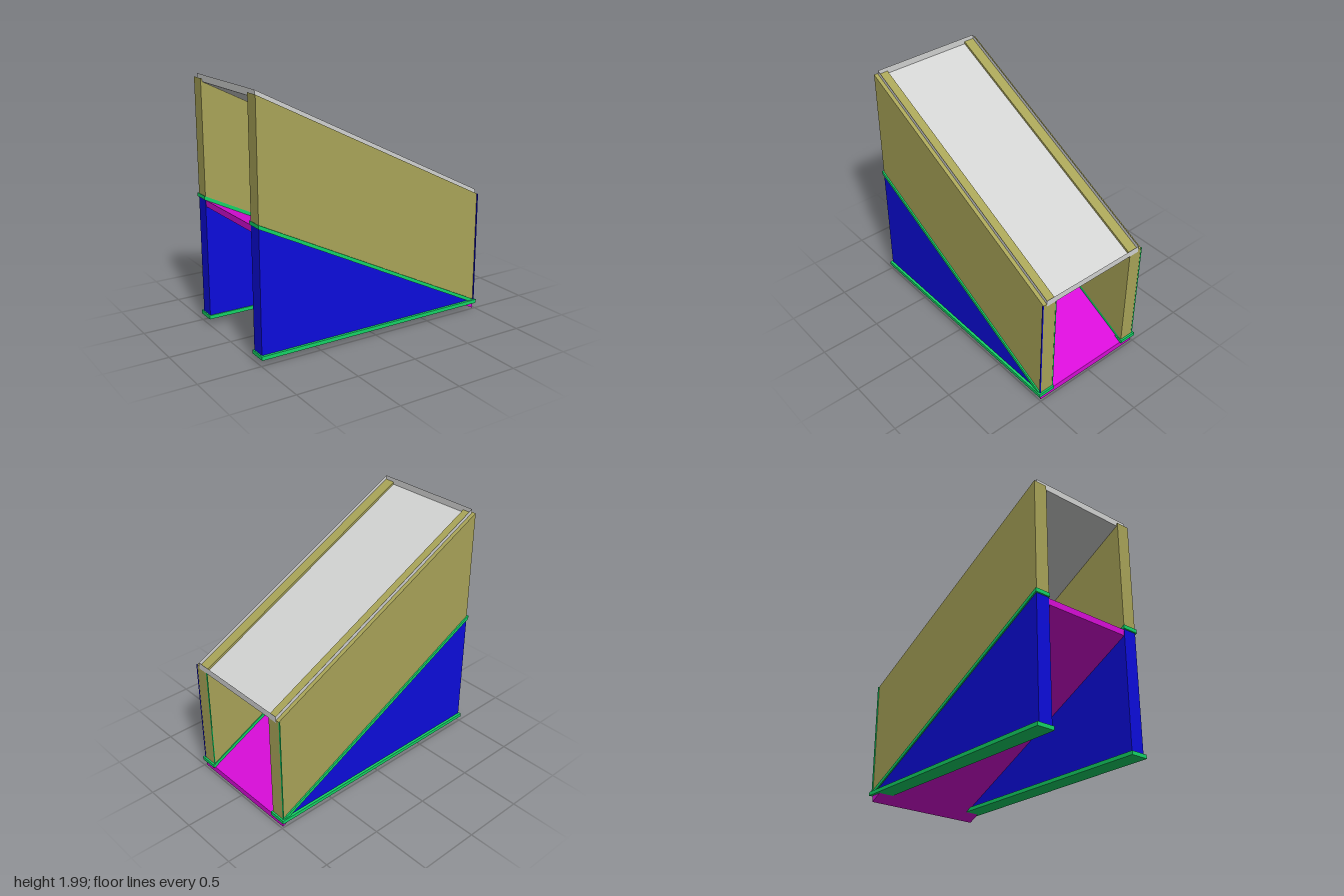
import * as THREE from 'three';

const mat = (name, color, side = THREE.FrontSide) => {
  const m = new THREE.MeshStandardMaterial({ color, side });
  m.name = name;
  return m;
};

export function createModel() {
  const olive = mat('olive', 0xa9a458);
  const blue = mat('blue', 0x0c0cdc);
  const green = mat('green', 0x14d466);
  const magenta = mat('magenta', 0xd80dd8);
  const grey = mat('light grey', 0xd2d3d2, THREE.DoubleSide);

  const model = new THREE.Group();
  model.name = 'inclinedPassage';

  const L = -0.99, R = 0.985, SLOPE = 0.4965;
  // height of a sloping line that is at height y over the low end
  const at = (x, y) => y + (R - x) * SLOPE;

  // flat outline in x, y pushed from z0 to z1
  const prism = (name, pts, z0, z1, material) => {
    const shape = new THREE.Shape(pts.map(p => new THREE.Vector2(...p)));
    const geo = new THREE.ExtrudeGeometry(shape, { depth: z1 - z0, bevelEnabled: false });
    geo.translate(0, 0, z0);
    const mesh = new THREE.Mesh(geo, material);
    mesh.name = name;
    model.add(mesh);
  };
  // sloping band between two heights given over the low end
  const band = (name, lo, hi, x0, x1, z0, z1, material) => prism(name,
    [[x0, at(x0, lo)], [x1, at(x1, lo)], [x1, at(x1, hi)], [x0, at(x0, hi)]], z0, z1, material);
  const box = (name, x0, x1, y0, y1, z0, z1, material) =>
    prism(name, [[x0, y0], [x1, y0], [x1, y1], [x0, y1]], z0, z1, material);

  // side walls: base rail, triangular plinth, sloping rail, upper wall
  for (const [side, s] of [['front', 1], ['back', -1]]) {
    const span = (a, b) => (s > 0 ? [a, b] : [-b, -a]);
    box(side + 'BaseRail', -1, 1, 0.05, 0.08, ...span(0.366, 0.513), green);
    const tip = R - 0.03 / SLOPE;
    prism(side + 'Plinth', [[L, 0.08], [tip, 0.08], [L, at(L, 0.05)]], ...span(0.375, 0.492), blue);
    const inner = s > 0 ? 0.367 : 0.375;
    band(side + 'SlopeRail', 0.05, 0.08, -0.998, R, ...span(inner, 0.503), green);
    band(side + 'UpperWall', 0.08, 0.985, L, R, ...span(0.375, 0.491), olive);
    // narrow strip up the low corner
    box(side + 'CornerStrip', R - 0.005, R + 0.002, 0.08, 0.985, ...span(0.49, 0.5), s > 0 ? blue : green);
  }
  box('innerCornerStrip', R - 0.005, R + 0.002, 0.08, 0.965, 0.367, 0.376, green);

  // ramp floor
  band('rampFloor', 0.0, 0.05, L + 0.004, R - 0.001, -0.489, 0.489, magenta);

  // roof: a shallow open tray made of thin sheets
  const sheet = (name, a, b, c, d) => {
    const geo = new THREE.BufferGeometry();
    geo.setAttribute('position', new THREE.Float32BufferAttribute([...a, ...b, ...c, ...d], 3));
    geo.setIndex([0, 1, 2, 0, 2, 3]);
    geo.computeVertexNormals();
    const mesh = new THREE.Mesh(geo, grey);
    mesh.name = name;
    model.add(mesh);
  };
  const x0 = -0.98, x1 = R + 0.002, lo = 0.965, hi = 1.018, w = 0.46;
  const p = (x, h, z) => [x, at(x, h), z];
  sheet('roofPanel', p(x0, lo, w), p(x1, lo, w), p(x1, lo, -w), p(x0, lo, -w));
  sheet('roofFrontRim', p(x0, lo, w), p(x1, lo, w), p(x1, hi, w), p(x0, hi, w));
  sheet('roofBackRim', p(x1, lo, -w), p(x0, lo, -w), p(x0, hi, -w), p(x1, hi, -w));
  sheet('roofLowRim', p(x1, lo, w), p(x1, lo, -w), p(x1, hi, -w), p(x1, hi, w));
  sheet('roofHighRim', p(x0, lo, -w), p(x0, lo, w), p(x0, hi, w), p(x0, hi, -w));

  return model;
}
